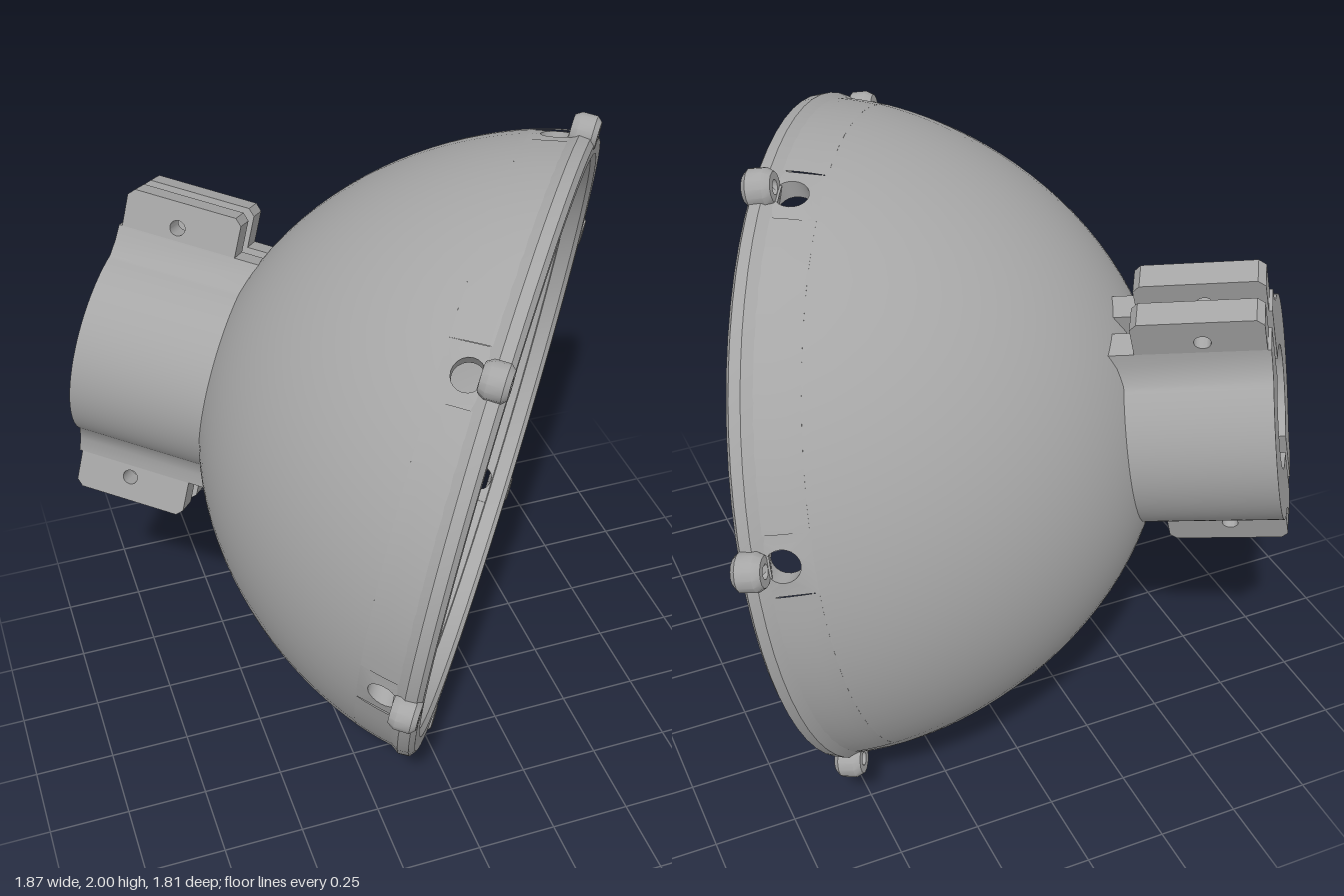
import * as THREE from 'three';
import { toCreasedNormals } from 'three/addons/utils/BufferGeometryUtils.js';

const WALL = 0.055;
const BAND_START = 0.02, BAND_TOP = 0.17;   // band that carries the side holes
const PATCH = 0.085;                        // half width of each pierced patch
const BORE = 0.18;
const FLOOR = 0.75;                         // flat floor inside the dome
// Dome profile, between a parabola and an ellipse
const domeR = t => 0.985 * Math.sqrt(Math.max(0, 1 - (t / 0.945) ** 1.6));
const domeT = r => 0.945 * (1 - (r / 0.985) ** 2) ** (1 / 1.6);
const V = (x, y) => new THREE.Vector2(x, y);
const steps = (n, fn) => Array.from({ length: n + 1 }, (_, i) => fn(i / n));

export function createModel() {
  const model = new THREE.Group();
  const grey = new THREE.MeshStandardMaterial({ color: 0xa6a6a6 });

  // Local frame: +y points out of the back of the dome, +z to the upper lug
  const body = new THREE.Group();
  body.name = 'domeAssembly';
  const back = new THREE.Vector3(-0.815, 0.163, -0.555).normalize();
  const side = back.clone().cross(new THREE.Vector3(0.297, 0.942, -0.161)).normalize();
  const up = side.clone().cross(back);
  body.quaternion.setFromRotationMatrix(new THREE.Matrix4().makeBasis(side, back, up));
  body.position.set(0.317, 0.998, 0.055);
  model.add(body);

  const add = (name, geo, angle = 0, parent = body) => {
    const mesh = new THREE.Mesh(toCreasedNormals(geo, 0.6), grey);
    mesh.name = name;
    mesh.rotation.y = angle;
    parent.add(mesh);
  };

  // Dome outside, running into the bore that ends inside the bulb
  const rTop = domeR(BAND_TOP);
  const outer = [
    ...steps(24, k => {
      const r = BORE + (rTop - BORE) * Math.cos(k * Math.PI / 2);
      return V(r, domeT(r));
    }),
    ...steps(10, k => V(BORE * Math.cos(k * Math.PI / 2), 0.51 - BORE * Math.sin(k * Math.PI / 2))),
  ];
  add('domeShell', new THREE.LatheGeometry(outer, 72));

  // Bulb, floor and dome lining
  const inner = [
    ...steps(14, k => V(0.27 * Math.sin(k * Math.PI / 2), 0.51 - 0.27 * Math.cos(k * Math.PI / 2))),
    ...steps(24, k => {
      const r = 0.31 + (rTop - 0.31) * Math.sin(k * Math.PI / 2);
      const t = domeT(r);
      const f = (t - BAND_TOP) / (domeT(0.31) - BAND_TOP);
      return V(r - WALL + 0.015 * f, Math.min(t - 0.06 * f, FLOOR));
    }),
  ];
  add('bulbAndLining', new THREE.LatheGeometry(inner, 72));

  // Rim ring
  const rim = [[0.915, -0.008], [0.93, -0.022], [0.975, -0.022], [0.995, -0.008], [0.998, 0.025],
    [0.975, 0.06], [0.915, 0.04], [0.915, -0.008]].map(p => V(...p));
  add('rim', new THREE.LatheGeometry(rim, 72));

  // Band behind the rim: six plain sectors and six pierced patches, with lugs
  const half = PATCH / 0.95;
  const bandOuter = steps(4, k => BAND_START + k * (BAND_TOP - BAND_START)).map(t => V(domeR(t), t));
  const bandInner = bandOuter.map(p => V(p.x - WALL, p.y)).reverse();
  const patchShape = new THREE.Shape([V(-PATCH, BAND_START), V(0, BAND_START), V(PATCH, BAND_START),
    V(PATCH, BAND_TOP), V(0, BAND_TOP), V(-PATCH, BAND_TOP)]);
  patchShape.holes.push(new THREE.Path().absarc(0, 0.092, 0.046, 0, Math.PI * 2, true));
  const patch = new THREE.ExtrudeGeometry(patchShape, { depth: WALL, bevelEnabled: false, curveSegments: 10 });
  const pos = patch.attributes.position;
  for (let i = 0; i < pos.count; i++) {
    const t = pos.getY(i), phi = pos.getX(i) / 0.95, r = domeR(t) - WALL + pos.getZ(i);
    pos.setXYZ(i, r * Math.sin(phi), t, r * Math.cos(phi));
  }
  const lugProfile = [[0.02, -0.025], [0.04, -0.025], [0.054, -0.01], [0.054, 0.035],
    [0.042, 0.055], [0.02, 0.055], [0.02, -0.025]].map(p => V(...p));
  for (let i = 0; i < 6; i++) {
    const a = i * Math.PI / 3;
    add('bandSector', new THREE.LatheGeometry([...bandOuter, ...bandInner], 12, half, Math.PI / 3 - 2 * half), a);
    add('piercedPatch', patch, a);
    add('lug', new THREE.LatheGeometry(lugProfile, 14).translate(0, 0, 1), a);
  }

  // Four fins from the bulb to the dome wall
  const fin = new THREE.Shape([
    V(0, 0.24), V(domeR(0.31) - 0.03, 0.31),
    ...steps(10, k => V(domeR(0.31 + k * 0.5) - 0.03, 0.31 + k * 0.5 - 0.02 * k)),
    V(0.23, 0.79), V(0.23, 0.51), V(0.163, 0.347), V(0, 0.28),
  ]);
  const finGeo = new THREE.ExtrudeGeometry(fin, { depth: 0.03, bevelEnabled: false }).translate(0, 0, -0.015);
  for (let i = 0; i < 4; i++) add('fin', finGeo, i * Math.PI / 2);

  // Split clamp collar: two half rings flared into pairs of drilled ears
  const collar = new THREE.Group();
  collar.name = 'clampCollar';
  collar.position.x = -0.02;
  body.add(collar);
  const R = 0.325, GAP = 0.03, EAR = 0.08;
  const a1 = Math.acos(GAP / BORE);
  const ring = new THREE.Shape();
  ring.moveTo(GAP, -0.38);
  ring.lineTo(GAP + EAR, -0.38);
  ring.lineTo(GAP + EAR + 0.01, -0.335);
  ring.absarc(0, 0, R, -1.1, 1.1, false);
  ring.lineTo(GAP + EAR + 0.01, 0.335);
  ring.lineTo(GAP + EAR, 0.38);
  ring.lineTo(GAP, 0.38);
  ring.absarc(0, 0, BORE, a1, -a1, true);
  const ringGeo = new THREE.ExtrudeGeometry(ring, { depth: 0.45, bevelEnabled: false, curveSegments: 24 })
    .rotateX(-Math.PI / 2).translate(0, 0.84, 0);
  const ear = new THREE.Shape([V(0.28, 0.92), V(0.48, 0.92), V(0.5, 0.94),
    V(0.5, 1.26), V(0.48, 1.28), V(0.28, 1.28)]);
  ear.holes.push(new THREE.Path().absarc(0.42, 1.11, 0.024, 0, Math.PI * 2, true));
  for (const turn of [0, Math.PI]) {
    add('collarHalf', ringGeo, turn, collar);
    for (const v of [GAP, -GAP - EAR]) {
      const plate = new THREE.ExtrudeGeometry(ear, { depth: EAR, bevelEnabled: false, curveSegments: 8 })
        .translate(0, 0, v).rotateY(-Math.PI / 2);
      add('clampEar', plate, turn, collar);
    }
  }
  return model;
}
